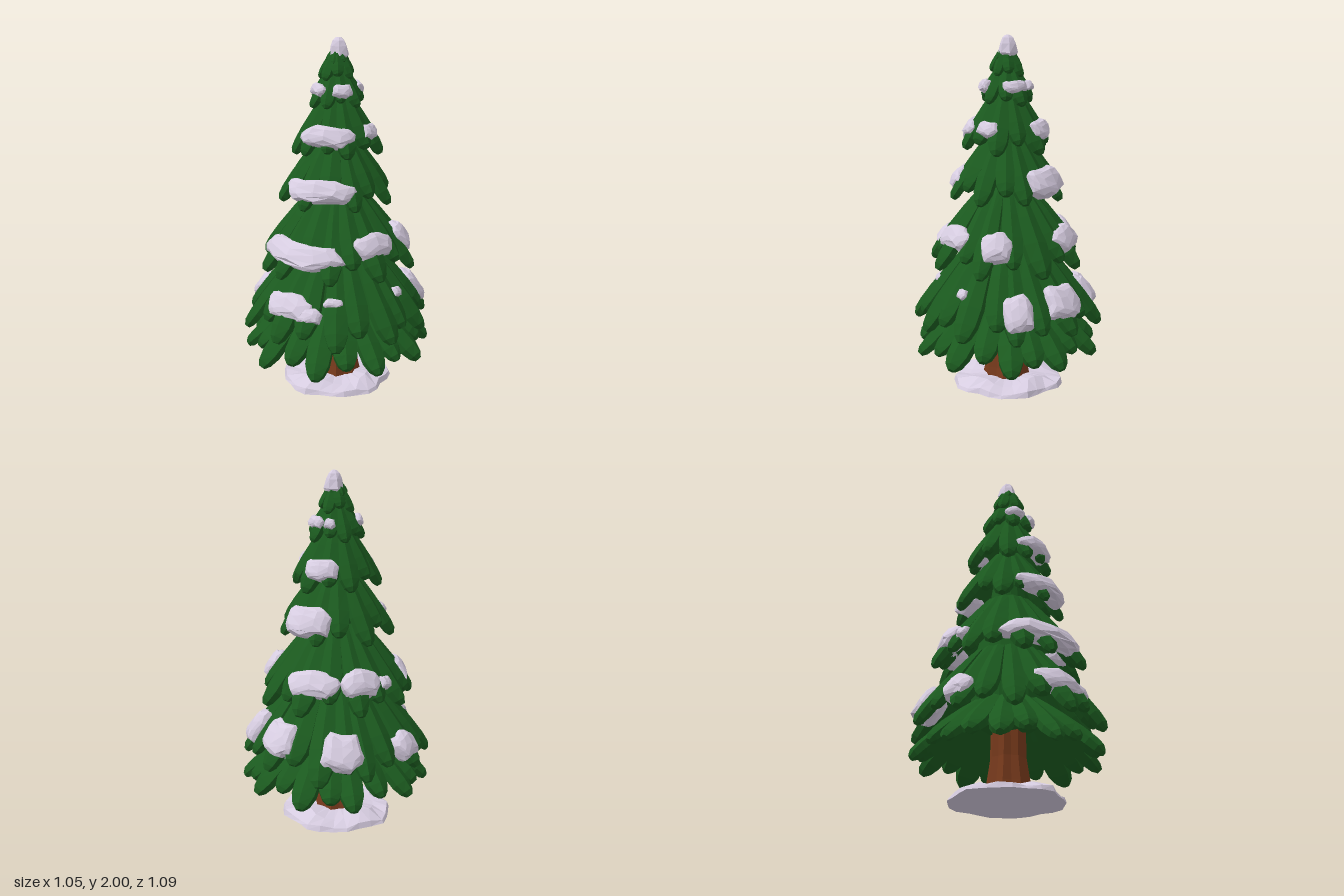
import * as THREE from 'three';
import { mergeGeometries } from 'three/addons/utils/BufferGeometryUtils.js';

const flat = (name, color) => {
  const m = new THREE.MeshStandardMaterial({ color, flatShading: true });
  m.name = name;
  return m;
};

// Seeded random number in -1..1
let seed = 7;
const rnd = () => {
  seed = (seed * 16807) % 2147483647;
  return (seed / 2147483647) * 2 - 1;
};

// Point at azimuth a (0 = front, quarter turn = +x)
const polar = (r, y, a) => new THREE.Vector3(r * Math.sin(a), y, r * Math.cos(a));

// Closed skin through equal rings of points, with a cap on both ends
function loft(rings) {
  const n = rings[0].length, pos = [];
  const tri = (...pts) => pts.forEach(p => pos.push(p.x, p.y, p.z));
  const middle = ring => ring.reduce((s, p) => s.add(p), new THREE.Vector3()).divideScalar(n);
  const last = rings[rings.length - 1], c0 = middle(rings[0]), c1 = middle(last);
  for (let j = 0; j < n; j++) {
    const k = (j + 1) % n;
    for (let i = 0; i < rings.length - 1; i++) {
      const a = rings[i], b = rings[i + 1];
      tri(a[j], a[k], b[k]);
      tri(a[j], b[k], b[j]);
    }
    tri(c0, rings[0][k], rings[0][j]);
    tri(c1, last[j], last[k]);
  }
  const g = new THREE.BufferGeometry();
  g.setAttribute('position', new THREE.Float32BufferAttribute(pos, 3));
  g.computeVertexNormals();
  return g;
}

// Upright form from [radius, y] pairs; wobble(a, i) scales the radius, lift(a, i) adds height
function upright(profile, sides, wobble = () => 1, lift = () => 0) {
  return loft(profile.map(([r, y], i) => Array.from({ length: sides }, (_, j) => {
    const a = (j / sides) * Math.PI * 2;
    return polar(r * wobble(a, i), y + lift(a, i), a);
  })));
}

// Tiers: boughs run from (r0, y0) at the stem to (r1, y1) at the tip
const tiers = [
  { r0: 0.17, y0: 0.55, r1: 0.515, y1: 0.225, n: 20 },
  { r0: 0.20, y0: 0.82, r1: 0.51, y1: 0.395, n: 20 },
  { r0: 0.12, y0: 1.16, r1: 0.415, y1: 0.745, n: 17 },
  { r0: 0.07, y0: 1.47, r1: 0.30, y1: 1.11, n: 14 },
  { r0: 0.04, y0: 1.72, r1: 0.23, y1: 1.38, n: 11 },
  { r0: 0.022, y0: 1.85, r1: 0.142, y1: 1.635, n: 9 },
  { r0: 0.012, y0: 1.94, r1: 0.086, y1: 1.785, n: 7 },
  { r0: 0.006, y0: 1.95, r1: 0.055, y1: 1.86, n: 6 },
];

// One leaf-shaped bough: [along, width, thickness] stations with a ridged six-sided section
const stations = [[0, 0.5, 0.4], [0.35, 0.75, 0.8], [0.66, 0.96, 1], [0.86, 0.9, 1], [0.98, 0.62, 0.85], [1.04, 0.28, 0.45]];
function bough(tier, a, length, width) {
  const { r0, y0, r1, y1 } = tier;
  const dir = new THREE.Vector2(r1 - r0, y1 - y0).normalize();
  const thick = 0.006 + 0.45 * width;
  const side = polar(1, 0, a + Math.PI / 2), out = polar(-dir.y, dir.x, a);
  return loft(stations.map(([t, w, h]) => {
    const s = t * length;
    const c = polar(r0 + (r1 - r0) * s, y0 + (y1 - y0) * s, a);
    return Array.from({ length: 6 }, (_, k) => {
      const f = (k + 0.5) / 6 * Math.PI * 2;
      return c.clone()
        .addScaledVector(side, Math.cos(f) * w * width * 1.1)
        .addScaledVector(out, (Math.sin(f) + (k === 1 ? 0.2 : 0)) * h * thick);
    });
  }));
}

function boughRing(tier, index) {
  const parts = [];
  for (let i = 0; i < tier.n; i++) {
    const a = ((i + (index % 2) * 0.5) / tier.n) * Math.PI * 2 + rnd() * 0.06;
    const length = (i % 2 ? 0.87 : 1) + rnd() * 0.035;
    parts.push(bough(tier, a, length, (Math.PI * tier.r1 / tier.n) * (0.9 + rnd() * 0.08)));
  }
  return mergeGeometries(parts);
}

// Plump, ragged snow pad on a tier: azimuth and half-span in degrees, centre y, half-height
function snowPad(tier, deg, span, y, h) {
  const { r0, y0, r1, y1 } = tier;
  const slope = (r1 - r0) / (y0 - y1), len = Math.hypot(1, slope);
  const g = new THREE.IcosahedronGeometry(1, 2), p = g.attributes.position;
  const phase = rnd() * 9, thick = 0.028 + h * 0.5;
  const square = v => Math.sign(v) * Math.abs(v) ** 0.7;
  for (let i = 0; i < p.count; i++) {
    const u = p.getX(i), v = p.getY(i), w = p.getZ(i);
    const rag = 0.15 * Math.sin(u * 6 + phase) + 0.08 * Math.sin(u * 12 + v * 3 + phase);
    const a = THREE.MathUtils.degToRad(deg + span * square(u) * (1 + 0.08 * Math.sin(v * 5 + phase)));
    const dy = h * (square(v) + rag * (1 - 0.5 * Math.abs(u)));
    const n = 0.014 + thick * square(w) * (1 + 0.08 * Math.sin(u * 6 + v * 3 + phase));
    const q = polar(r0 + (y0 - y - dy) * slope + n / len, y + dy + n * slope / len, a);
    p.setXYZ(i, q.x, q.y, q.z);
  }
  g.computeVertexNormals();
  return g;
}

// Snow pads by tier: [tier, azimuth, half-span, y, half-height]
const pads = [
  [1, 8, 21, 0.55, 0.06], [1, 26, 11, 0.525, 0.035], [1, 45, 8, 0.59, 0.022], [1, -65, 10, 0.495, 0.065],
  [1, 106, 5, 0.59, 0.025], [1, 152, 11, 0.52, 0.085], [1, 191, 16, 0.545, 0.08], [1, 242, 15, 0.52, 0.085],
  [2, 7, 47, 0.84, 0.058], [2, 85, 22, 0.885, 0.056], [2, 135, 14, 0.865, 0.07],
  [2, 216, 25, 0.87, 0.062], [2, 261, 18, 0.875, 0.065], [2, -74, 6, 0.855, 0.03],
  [3, 24, 46, 1.185, 0.054], [3, 201, 32, 1.195, 0.07],
  [4, 30, 46, 1.475, 0.052], [4, 112, 20, 1.485, 0.038], [4, 214, 29, 1.475, 0.05],
  [5, -12, 28, 1.712, 0.03], [5, 62, 27, 1.712, 0.032], [5, 168, 36, 1.712, 0.03], [5, 222, 14, 1.712, 0.026],
];

export function createModel() {
  const green = flat('pine green', 0x1b5a1f);
  const white = flat('lilac snow', 0xd6cce0);
  const brown = flat('bark brown', 0x773a1c);
  const tree = new THREE.Group();
  tree.name = 'snowyPine';
  const add = (name, geometry, material) => {
    const mesh = new THREE.Mesh(geometry, material);
    mesh.name = name;
    tree.add(mesh);
  };

  // Flared, ridged trunk
  add('trunk', upright([[0.132, 0.02], [0.115, 0.1], [0.095, 0.24], [0.09, 0.5]], 16,
    a => 1 + 0.07 * Math.cos(a * 8)), brown);

  // Foliage: closed core with rings of drooping boughs
  add('foliageCore', upright([[0.09, 0.38], [0.21, 0.46], [0.2, 0.78], [0.11, 1.14],
    [0.06, 1.47], [0.028, 1.75], [0.01, 1.95]], 16), green);
  tiers.forEach((t, i) => add('boughTier' + (i + 1), boughRing(t, i), green));

  // Snow on the boughs, at the tip and around the foot
  pads.forEach(([t, ...rest], i) => add('snowPad' + (i + 1), snowPad(tiers[t], ...rest), white));
  add('snowCap', upright([[0.042, 1.88], [0.057, 1.905], [0.046, 1.955], [0.032, 1.985], [0.014, 2]], 7,
    (a, i) => 1 + 0.08 * Math.sin(a * 3 + i)).translate(0, 0, -0.012), white);
  add('snowMound', upright([[0.315, 0], [0.305, 0.025], [0.22, 0.05], [0.1, 0.05]], 26,
    a => 1 + 0.04 * Math.sin(a * 5 + 1) + 0.03 * Math.sin(a * 9) - 0.03 * Math.sin(a),
    (a, i) => (i === 2 ? 0.018 * Math.sin(a * 4 + 1) : i === 1 ? 0.01 * Math.sin(a * 7) : 0)), white);
  return tree;
}
